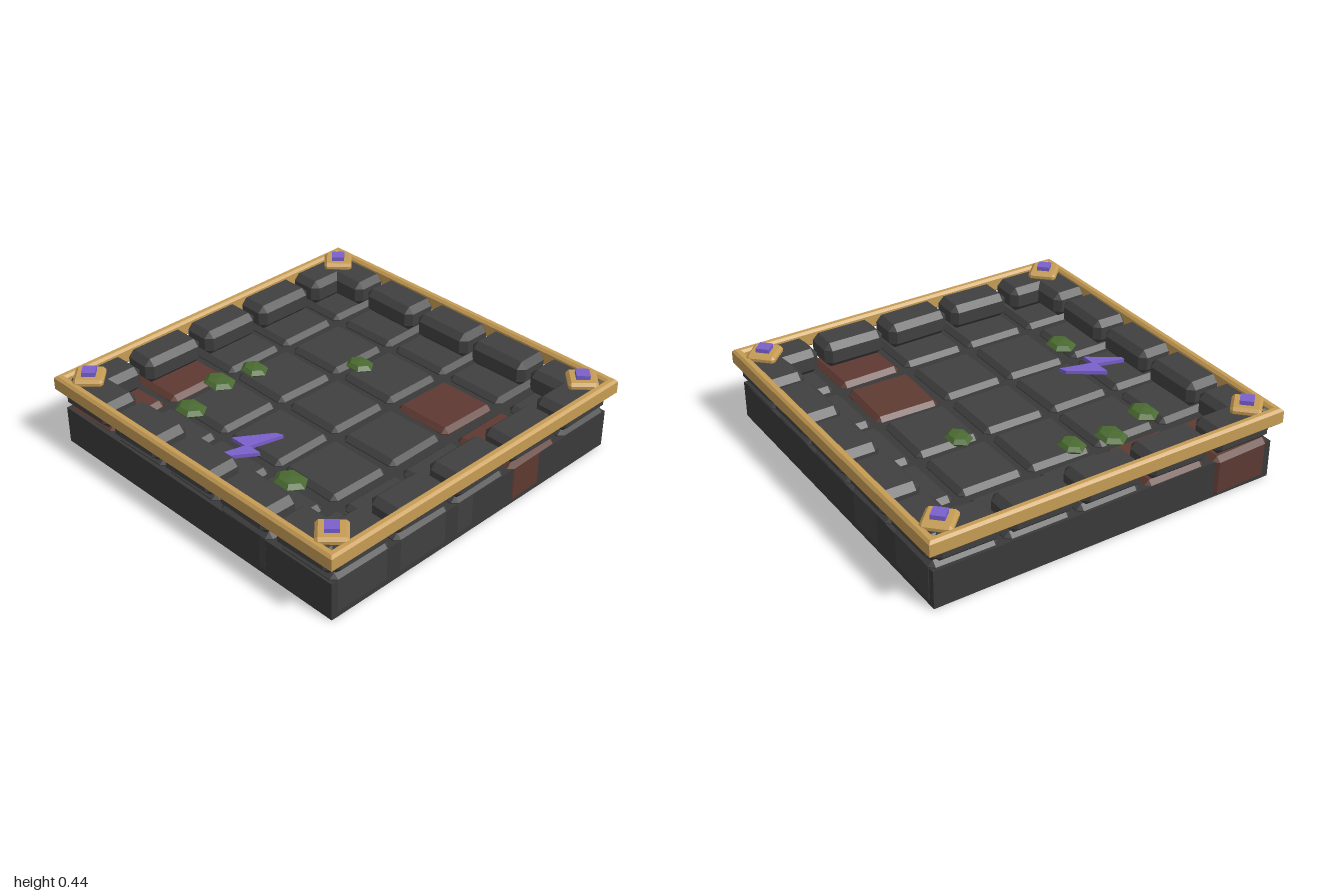
import * as THREE from 'three';
import { ConvexGeometry } from 'three/addons/geometries/ConvexGeometry.js';

const mat = (name, color) => {
  const m = new THREE.MeshStandardMaterial({ color });
  m.name = name;
  return m;
};

// Box with every edge chamfered by b
function chamferBox(w, h, d, b) {
  const pts = [];
  for (const x of [-1, 1]) for (const y of [-1, 1]) for (const z of [-1, 1]) {
    const [p, q, r] = [w / 2, h / 2, d / 2];
    pts.push(
      new THREE.Vector3(x * p, y * (q - b), z * (r - b)),
      new THREE.Vector3(x * (p - b), y * q, z * (r - b)),
      new THREE.Vector3(x * (p - b), y * (q - b), z * r));
  }
  return new ConvexGeometry(pts);
}

export function createModel() {
  const model = new THREE.Group();
  model.name = 'stoneFloorTile';

  const mortar = mat('mortar grey', 0x3a3a3b);
  const stone = mat('stone grey', 0x404041);
  const brick = mat('brick red', 0x5e3a32);
  const gold = mat('gold', 0xc69c54);
  const violet = mat('violet', 0x7a60cc);
  const moss = mat('moss green', 0x4a6a31);

  const add = (name, geo, material, x, y, z, parent = model) => {
    const m = new THREE.Mesh(geo, material);
    m.name = name;
    m.position.set(x, y, z);
    parent.add(m);
    return m;
  };
  const group = (name) => {
    const g = new THREE.Group();
    g.name = name;
    model.add(g);
    return g;
  };

  // Repeatable small variation in -1..1
  let seed = 7;
  const jitter = () => {
    seed = (seed * 16807) % 2147483647;
    return (seed / 2147483647) * 2 - 1;
  };

  // Solid base
  add('base', new THREE.BoxGeometry(1.93, 0.205, 1.93), mortar, 0, 0.1075, 0);

  // Five by five paving stones, four of them red
  const pitch = 0.39;
  const redStones = ['3,1', '4,1', '0,3', '0,4'];
  const paving = group('pavingStones');
  for (let i = 0; i < 5; i++) for (let j = 0; j < 5; j++) {
    const red = redStones.includes(`${i},${j}`);
    let x = (i - 2) * pitch - 0.003, z = (j - 2) * pitch - 0.008;
    if (i === 4) x += 0.012;
    if (i === 0 && j === 4) x -= 0.012;
    if (i === 3 && j === 4) z += 0.018;
    const s = add('pavingStone',
      chamferBox(0.352 + jitter() * 0.008, 0.232, 0.352 + jitter() * 0.008, 0.026),
      red ? brick : stone, x, red ? 0.121 : 0.126, z, paving);
    s.rotation.y = i === 0 && j === 4 ? 0.04 : jitter() * 0.025;
    if (red && i !== 4) s.rotation.z = 0.022;
  }

  // Raised stones around the edge, five per side
  const rim = group('rimStones');
  for (let k = 0; k < 5; k++) {
    const along = (k - 2) * pitch;
    for (const side of [-1, 1]) {
      const size = () => 0.352 + jitter() * 0.008;
      const a = add('rimStone', chamferBox(size(), 0.14, 0.21, 0.034), stone,
        along, 0.31, side * 0.877, rim);
      const b = add('rimStone', chamferBox(0.2, 0.14, size(), 0.034), stone,
        side * 0.88, 0.31, along, rim);
      a.rotation.y = jitter() * 0.02;
      b.rotation.y = jitter() * 0.02;
    }
  }

  // Gold frame with bevelled edges
  const square = (r, PathType) => new PathType([
    new THREE.Vector2(-r, -r), new THREE.Vector2(r, -r),
    new THREE.Vector2(r, r), new THREE.Vector2(-r, r)]);
  const frameShape = square(0.987, THREE.Shape);
  frameShape.holes.push(square(0.965, THREE.Path));
  const frameGeo = new THREE.ExtrudeGeometry(frameShape, {
    depth: 0.064, bevelEnabled: true, bevelSize: 0.013, bevelThickness: 0.013, bevelSegments: 1,
  });
  frameGeo.rotateX(-Math.PI / 2);
  add('frame', frameGeo, gold, 0, 0.323, 0);

  // Diamond plates with gems on the corners
  for (const x of [-1, 1]) for (const z of [-1, 1]) {
    const plate = add('cornerPlate', chamferBox(0.154, 0.045, 0.154, 0.015), gold,
      x * 0.872, 0.395, z * 0.872);
    const gem = add('cornerGem', new THREE.BoxGeometry(0.07, 0.04, 0.07), violet,
      x * 0.872, 0.42, z * 0.872);
    plate.rotation.y = gem.rotation.y = Math.PI / 4;
  }

  // Moss clumps
  const mossGeo = new THREE.SphereGeometry(1, 6, 4).toNonIndexed();
  mossGeo.computeVertexNormals();
  const clumps = [[-0.165, -0.34, 0.084], [-0.52, 0.085, 0.084], [-0.555, 0.295, 0.098],
    [-0.465, 0.56, 0.094], [0.33, 0.615, 0.096]];
  for (const [x, z, r] of clumps) {
    add('mossClump', mossGeo, moss, x, 0.253, z).scale.set(r, 0.028, r * 0.8);
  }

  // Lightning bolt inlay, drawn as x and -z then laid flat
  const bolt = [[0.03, 0.435], [-0.09, 0.615], [0.005, 0.615], [-0.035, 0.765], [-0.01, 0.765],
    [0.1, 0.6], [0.025, 0.6], [0.07, 0.42]].map(([x, z]) => new THREE.Vector2(x, -z));
  const boltGeo = new THREE.ExtrudeGeometry(new THREE.Shape(bolt), { depth: 0.02, bevelEnabled: false });
  boltGeo.rotateX(-Math.PI / 2);
  add('boltInlay', boltGeo, violet, 0, 0.27, 0);

  return model;
}
